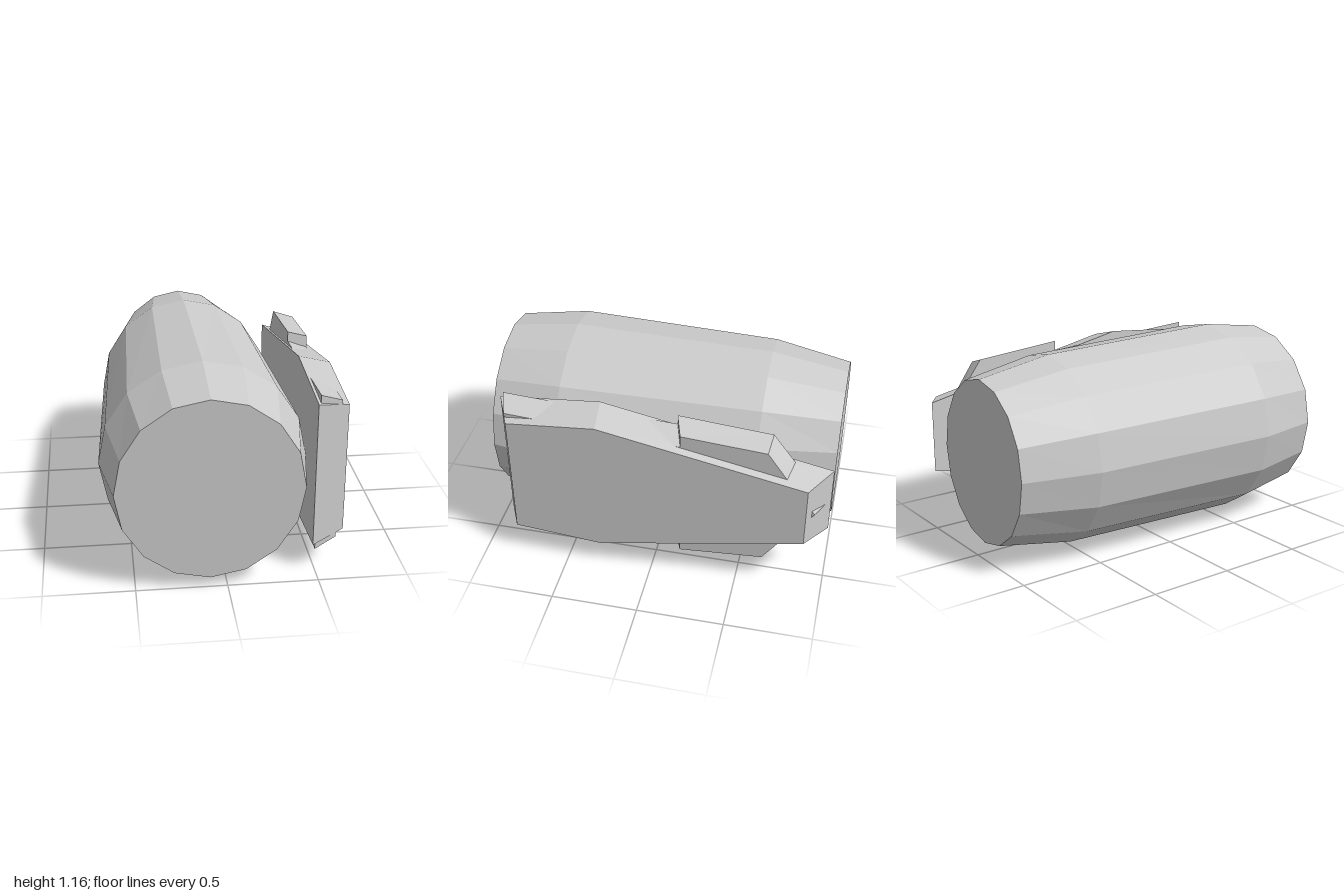
import * as THREE from 'three';

const material = new THREE.MeshStandardMaterial({ color: 0xcccccc, flatShading: true });
const MID = 0.58; // height of the horizontal mirror plane

// Closed solid through counter-clockwise [x, y] rings stacked along +z
function loft(name, sections) {
  const pos = [], index = [];
  const n = sections[0].ring.length;
  sections.forEach(({ z, ring }) => ring.forEach(([x, y]) => pos.push(x, y, z)));
  for (let s = 0; s < sections.length - 1; s++) {
    for (let i = 0; i < n; i++) {
      const j = (i + 1) % n, a = s * n, b = a + n;
      index.push(a + i, a + j, b + j, a + i, b + j, b + i);
    }
  }
  const cap = ring => THREE.ShapeUtils.triangulateShape(
    ring.map(([x, y]) => new THREE.Vector2(x, y)), []);
  const last = (sections.length - 1) * n;
  cap(sections[0].ring).forEach(([a, b, c]) => index.push(a, c, b));
  cap(sections[sections.length - 1].ring).forEach(
    ([a, b, c]) => index.push(last + a, last + b, last + c));

  const indexed = new THREE.BufferGeometry();
  indexed.setAttribute('position', new THREE.Float32BufferAttribute(pos, 3));
  indexed.setIndex(index);
  const geometry = indexed.toNonIndexed();
  geometry.computeVertexNormals();
  const mesh = new THREE.Mesh(geometry, material);
  mesh.name = name;
  return mesh;
}

// Sixteen-sided oval ring
function oval(rx, ry) {
  return Array.from({ length: 16 }, (_, i) => {
    const a = (i / 16) * Math.PI * 2;
    return [rx * Math.cos(a), ry * Math.sin(a)];
  });
}

// Upper half outline as [z, y] from front to back, mirrored below MID
function mirroredRing(upper) {
  const lower = upper.filter(p => p[1] !== MID).map(([z, y]) => [z, 2 * MID - y]).reverse();
  return [...upper, ...lower].map(([z, y]) => [-z, y]).reverse();
}

// Side plate lofted from its inner outline to its outer outline
function sidePlate(name, x0, inner, x1, outer) {
  const mesh = loft(name, [
    { z: x0, ring: mirroredRing(inner) },
    { z: x1, ring: mirroredRing(outer) },
  ]);
  mesh.rotation.y = Math.PI / 2;
  return mesh;
}

export function createModel() {
  const model = new THREE.Group();
  model.name = 'barrelWithSidePanel';

  // Bulging barrel body, narrower towards the back
  const barrel = loft('barrel', [
    { z: -1, ring: oval(0.415, 0.472) },
    { z: -0.56, ring: oval(0.52, 0.548) },
    { z: 0.6, ring: oval(0.578, 0.578) },
    { z: 1, ring: oval(0.508, 0.521) },
  ]);
  barrel.position.set(-0.093, MID, 0);
  model.add(barrel);

  // Bevelled main panel beside the barrel
  model.add(sidePlate('sidePanel',
    0.485, [[0.893, 1.0], [0.31, 1.052], [-1, 0.79]],
    0.67, [[0.805, 0.957], [0.295, 1.003], [-0.88, 0.768]]));

  // Notched plate inside the panel; its fins and rear tip break through the edges
  model.add(sidePlate('finPlate',
    0.502, [[0.866, 1.042], [-0.13, 0.983], [-0.13, 1.042], [-0.66, 0.998], [-0.785, 0.83], [-0.985, MID]],
    0.627, [[0.825, 0.993], [-0.17, 0.925], [-0.17, 0.997], [-0.648, 0.96], [-0.755, 0.808], [-0.925, MID]]));

  return model;
}
